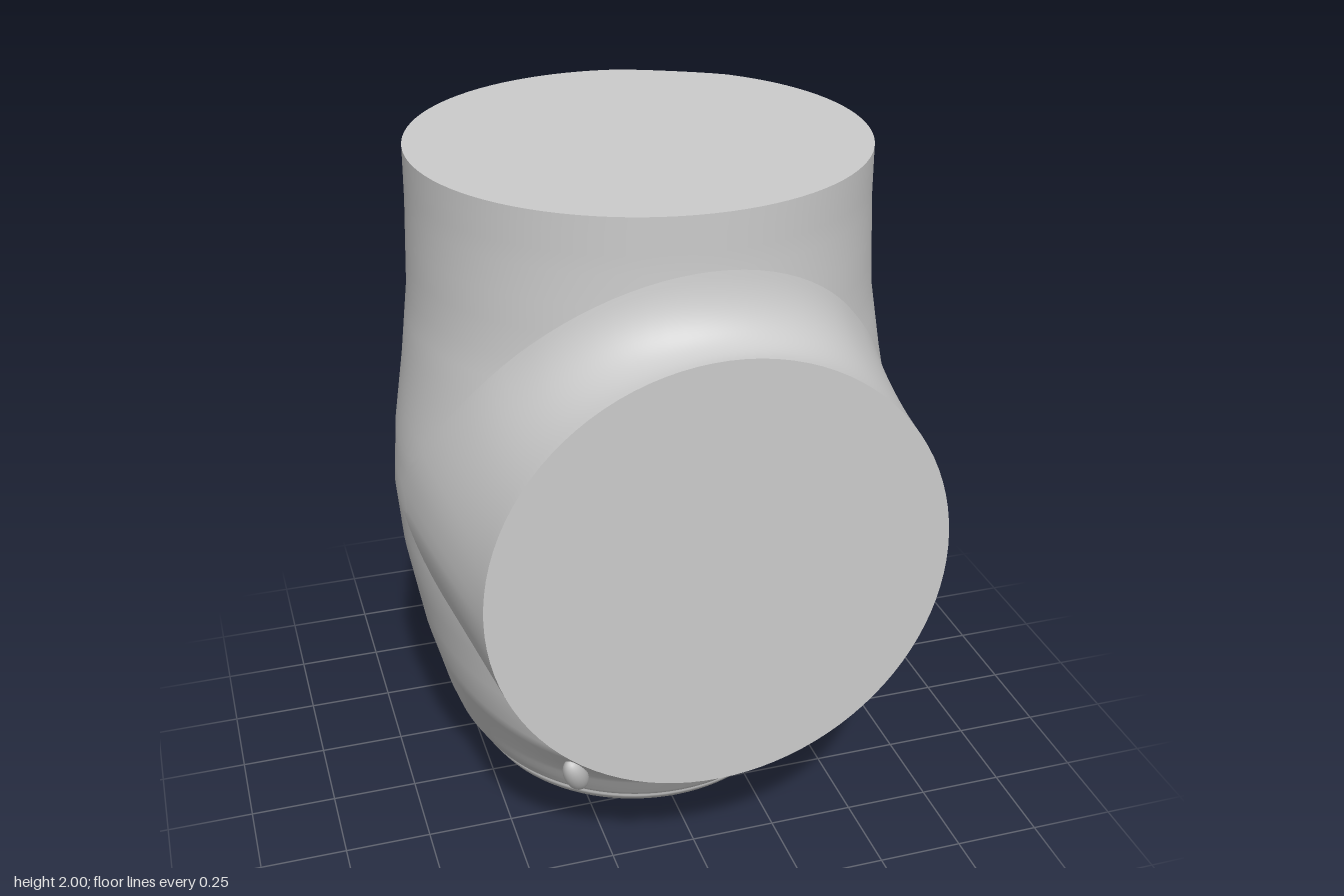
import * as THREE from 'three';

const material = new THREE.MeshStandardMaterial({ color: 0xcccccc });
const lerp = THREE.MathUtils.lerp;

// Body rings, top to bottom: front z, front y, back z, back y, half width.
const rings = [
  [0.575, 2.0, -0.70, 2.0, 0.638],
  [0.575, 1.85, -0.702, 1.85, 0.64],
  [0.59, 1.6, -0.706, 1.6, 0.652],
  [0.63, 1.4, -0.71, 1.4, 0.68],
  [0.67, 1.2, -0.712, 1.2, 0.715],
  [0.69, 1.03, -0.712, 1.03, 0.73],
  [0.66, 0.72, -0.712, 0.96, 0.715],
  [0.58, 0.34, -0.71, 0.85, 0.672],
  [0.45, 0.2, -0.70, 0.45, 0.607],
  [0.41, 0.14, -0.68, 0.33, 0.578],
  [0.38, 0.095, -0.635, 0.26, 0.545],
  [0.365, 0.085, -0.605, 0.235, 0.522],
  [0.362, 0.07, -0.595, 0.2, 0.52],
  [0.34, 0.045, -0.57, 0.16, 0.5],
  [0.29, 0.018, -0.5, 0.115, 0.42],
  [0.2, 0.0, -0.42, 0.085, 0.32],
  [-0.1, 0.022, -0.1, 0.022, 0],
];

// Point on the body: t is the ring position, theta turns from the front to +x.
function bodyPoint(t, theta) {
  const i = Math.min(Math.floor(t), rings.length - 2);
  const [zf, yf, zb, yb, rx] = rings[i].map((v, k) => lerp(v, rings[i + 1][k], t - i));
  // shallow crease running down the back
  const across = (Math.PI - theta - 0.19) / 0.53;
  const dent = across > 0 && across < 1 ? 0.02 * Math.sin(across * Math.PI) * Math.max(0, 1 - t / 5) : 0;
  const r = 1 - dent;
  const c = Math.cos(theta);
  return new THREE.Vector3(
    rx * r * Math.sin(theta),
    (yf + yb) / 2 + ((yf - yb) / 2) * c,
    (zf + zb) / 2 + ((zf - zb) / 2) * c * r
  );
}

// Ring position whose front lies at height y.
function ringAtFrontHeight(y) {
  let i = 0;
  while (i < 6 && rings[i + 1][1] > y) i++;
  return i + THREE.MathUtils.clamp((rings[i][1] - y) / (rings[i][1] - rings[i + 1][1]), 0, 1);
}

// Closed loops joined into one smooth surface.
function loft(name, point, around, along) {
  const positions = [];
  const index = [];
  for (let j = 0; j <= along; j++) {
    for (let i = 0; i < around; i++) {
      positions.push(...point((i / around) * Math.PI * 2, j / along).toArray());
      if (j === along) continue;
      const a = j * around + i;
      const b = j * around + ((i + 1) % around);
      index.push(a, a + around, b, b, a + around, b + around);
    }
  }
  const geometry = new THREE.BufferGeometry();
  geometry.setAttribute('position', new THREE.Float32BufferAttribute(positions, 3));
  geometry.setIndex(index);
  geometry.computeVertexNormals();
  const mesh = new THREE.Mesh(geometry, material);
  mesh.name = name;
  return mesh;
}

// Front outlet: straight at its round mouth, flaring out into the body.
const mouth = (a, r = 0.64) => new THREE.Vector3(r * Math.cos(a), 1.03 + r * Math.sin(a), 0.71);

function outletPoint(a, v) {
  const s = Math.sin(a);
  const start = mouth(a);
  const t = ringAtFrontHeight(1.03 + s * (s > 0 ? 0.82 : 0.69));
  const end = bodyPoint(t, Math.asin(THREE.MathUtils.clamp(Math.cos(a), -1, 1)));
  const corner = new THREE.Vector3(start.x, start.y, lerp(start.z, end.z, 0.85));
  const straight = start.clone().lerp(end, 0.5);
  straight.x *= 1.03;
  const control = straight.lerp(corner, s > 0 ? s : -s * 0.8);
  return new THREE.QuadraticBezierCurve3(start, control, end).getPoint(v);
}

export function createModel() {
  const group = new THREE.Group();
  group.name = 'elbowHousing';
  const steps = rings.length - 1;

  group.add(loft('body', (a, v) => bodyPoint(v * steps, a), 96, steps * 3));
  group.add(loft('topFace', (a, v) => new THREE.Vector3(0, 2, -0.0625).lerp(bodyPoint(0, a), v), 96, 1));
  group.add(loft('frontOutlet', outletPoint, 96, 20));
  group.add(loft('outletFace', (a, v) => mouth(a, 0.64 * v), 96, 1));

  // Four small raised studs around the base, leaning with the wall.
  for (const side of [-1, 1]) {
    for (const [name, z, lean] of [['frontStud', 0.39, 0.08], ['backStud', -0.535, -0.08]]) {
      const stud = new THREE.Mesh(new THREE.SphereGeometry(1, 20, 14), material);
      stud.name = name;
      stud.scale.set(0.036, 0.09, 0.036);
      stud.position.set(side * 0.33, 0.237, z);
      const axis = new THREE.Vector3(side * 0.05, 0.15, lean).normalize();
      stud.quaternion.setFromUnitVectors(new THREE.Vector3(0, 1, 0), axis);
      group.add(stud);
    }
  }
  return group;
}
